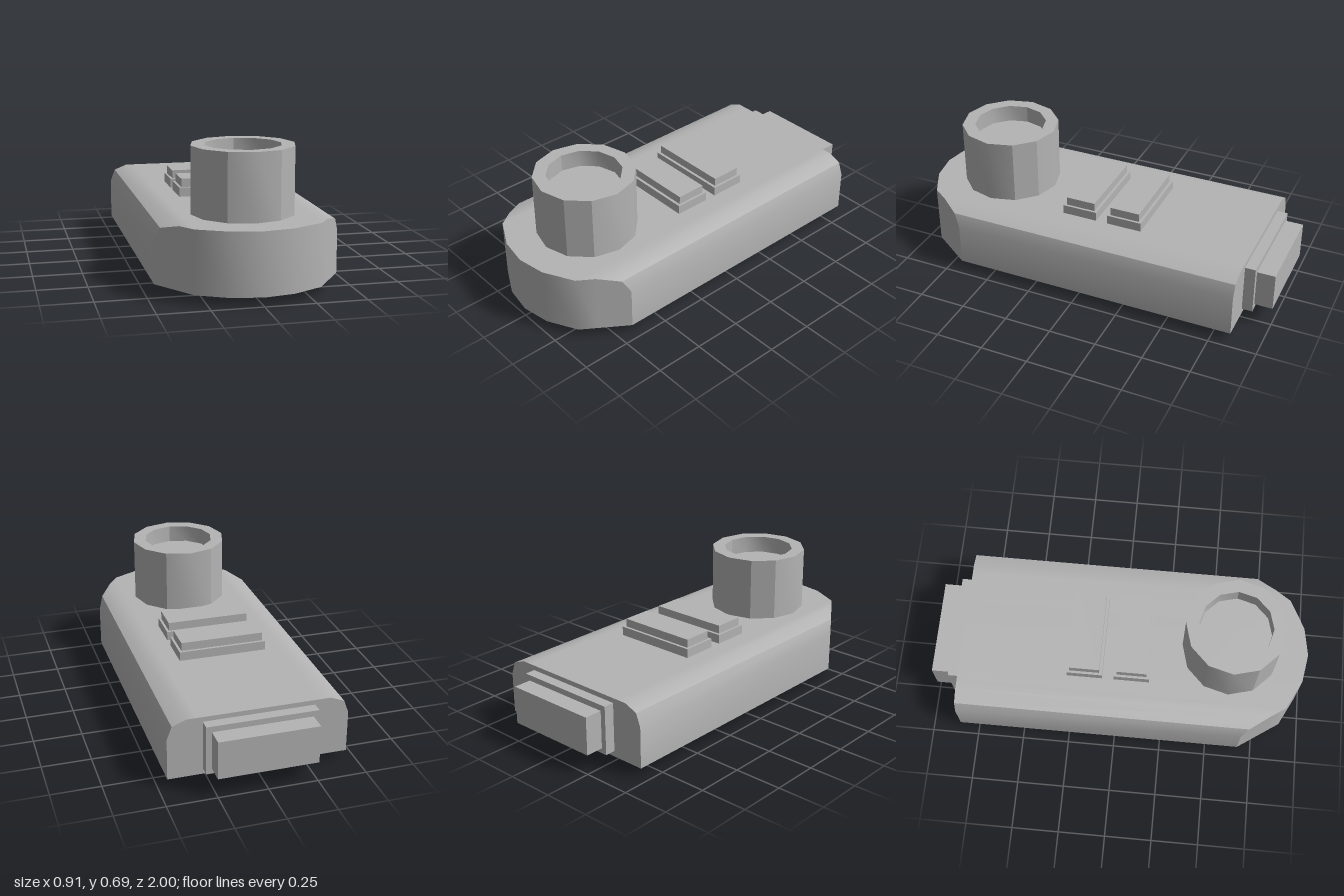
import * as THREE from 'three';
import { toCreasedNormals } from 'three/addons/utils/BufferGeometryUtils.js';

const CREASE = Math.PI / 6;

// Body: four-point sections swept across x, with bevelled top sides and a rounded nose
function bodyGeometry() {
  const yBottom = 0.045, zBack = -0.85;
  // x, height of the top, z of the nose
  const half = [
    [0.455, 0.26, 0.675],
    [0.43, 0.327, 0.712],
    [0.36, 0.355, 0.814],
    [0.305, 0.355, 0.895],
    [0.15, 0.355, 0.975],
  ];
  const stations = [
    ...half.map(([x, y, z]) => [-x, y, z]),
    [0, 0.355, 1],
    ...half.slice().reverse(),
  ];
  const positions = [], index = [];
  for (const [x, y, z] of stations) {
    positions.push(x, yBottom, zBack, x, y, zBack, x, y, z, x, yBottom, z);
  }
  for (let i = 0; i < stations.length - 1; i++) {
    for (let j = 0; j < 4; j++) {
      const a = i * 4 + j, b = i * 4 + (j + 1) % 4;
      index.push(a, b, b + 4, a, b + 4, a + 4);
    }
  }
  const e = (stations.length - 1) * 4;
  index.push(0, 2, 1, 0, 3, 2, e, e + 1, e + 2, e, e + 2, e + 3);
  const g = new THREE.BufferGeometry();
  g.setAttribute('position', new THREE.Float32BufferAttribute(positions, 3));
  g.setIndex(index);
  return toCreasedNormals(g, CREASE);
}

export function createModel() {
  const group = new THREE.Group();
  const grey = new THREE.MeshStandardMaterial({ color: 0xb4b4b4 });
  grey.name = 'grey';

  const add = (name, geometry) => {
    const mesh = new THREE.Mesh(geometry, grey);
    mesh.name = name;
    group.add(mesh);
    return mesh;
  };
  // Box centred on x, given by half width and its y and z ranges
  const block = (name, hw, y0, y1, z0, z1) => {
    const mesh = add(name, new THREE.BoxGeometry(hw * 2, y1 - y0, z1 - z0));
    mesh.position.set(0, (y0 + y1) / 2, (z0 + z1) / 2);
  };

  add('body', bodyGeometry());

  // Twelve-sided hollow cup near the nose
  const profile = [[0.258, 0.355], [0.258, 0.69], [0.19, 0.69], [0.19, 0.6], [0, 0.6]]
    .map(([r, y]) => new THREE.Vector2(r, y));
  add('cup', toCreasedNormals(new THREE.LatheGeometry(profile, 12), CREASE))
    .position.z = 0.586;

  // Two stepped buttons
  [['front', 0.072], ['rear', -0.178]].forEach(([side, z]) => {
    block(side + 'ButtonBase', 0.23, 0.355, 0.403, z - 0.094, z + 0.094);
    block(side + 'ButtonCap', 0.217, 0.403, 0.447, z - 0.079, z + 0.079);
  });

  // Plate underneath and the stepped plug at the back
  block('bottomPlate', 0.292, 0, 0.045, -0.525, 0.505);
  block('plugCollar', 0.28, 0.075, 0.33, -0.905, -0.85);
  block('plug', 0.252, 0.102, 0.3, -1, -0.905);

  return group;
}
